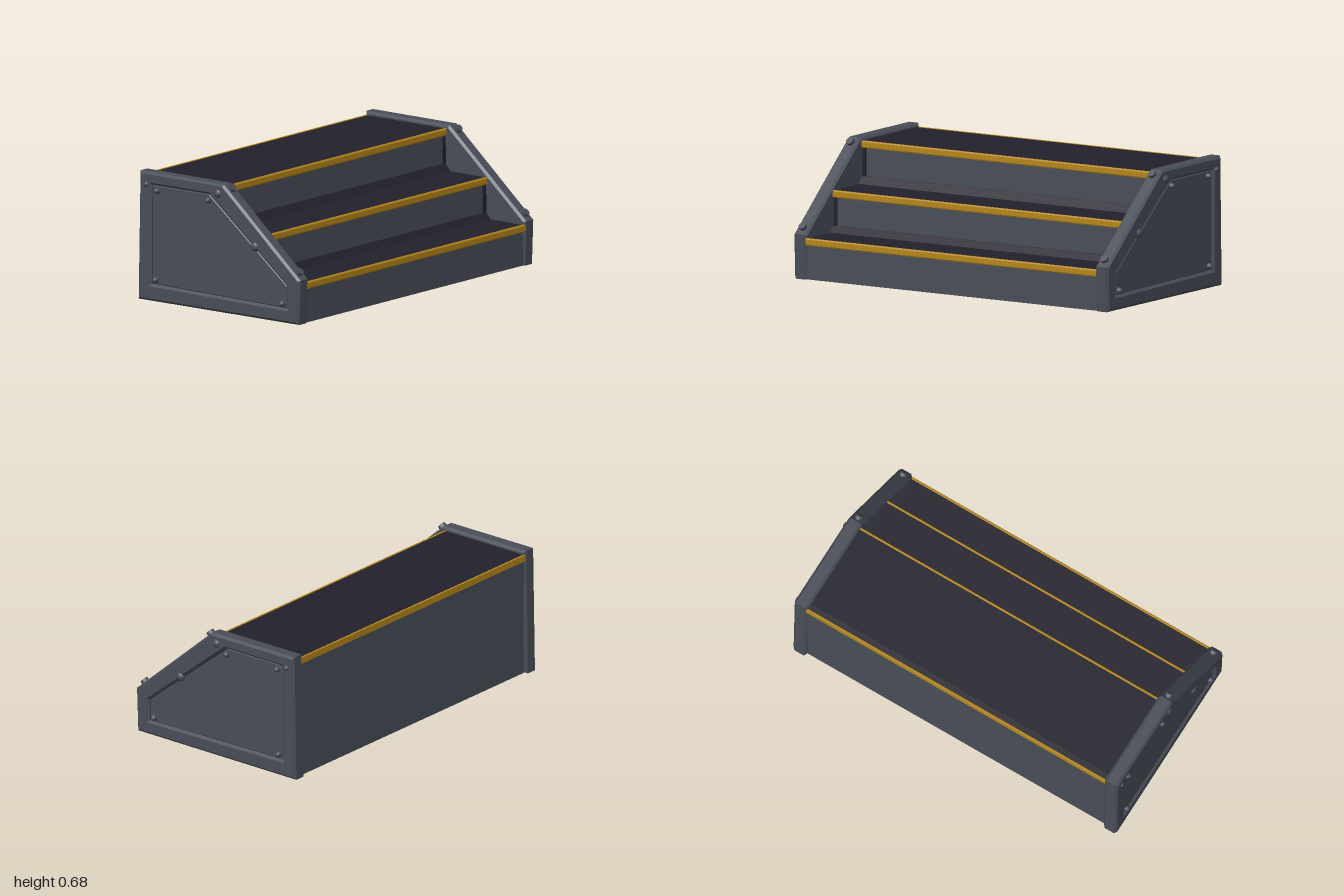
import * as THREE from 'three';

const grey = new THREE.MeshStandardMaterial({ color: 0x484e58 });
grey.name = 'slate grey';
const dark = new THREE.MeshStandardMaterial({ color: 0x22212c });
dark.name = 'dark grip';
const yellow = new THREE.MeshStandardMaterial({ color: 0xb5861a });
yellow.name = 'safety yellow';

const HALF = 0.91; // half length of the steps between the side plates

function polygon(points, Type = THREE.Shape) {
  return new Type(points.map(([x, y]) => new THREE.Vector2(x, y)));
}

function add(parent, name, geometry, material, x = 0, y = 0, z = 0) {
  const mesh = new THREE.Mesh(geometry, material);
  mesh.name = name;
  mesh.position.set(x, y, z);
  parent.add(mesh);
  return mesh;
}

// Constant cross-section running the full length of the steps
function addRun(parent, name, points, material) {
  const geometry = new THREE.ExtrudeGeometry(polygon(points), { depth: 2 * HALF, bevelEnabled: false });
  return add(parent, name, geometry, material, 0, 0, -HALF);
}

// One end plate, built with its outer face towards +z
function makeSidePlate() {
  const plate = new THREE.Group();
  const outline = [[-0.525, 0.017], [0.518, 0.017], [0.526, 0.236], [0.024, 0.674], [-0.513, 0.677]];
  const opening = [[-0.462, 0.083], [-0.462, 0.634], [-0.06, 0.634], [0.463, 0.205], [0.463, 0.07]];
  const panel = [[-0.443, 0.1], [0.444, 0.087], [0.444, 0.197], [-0.072, 0.617], [-0.443, 0.617]];

  // Raised frame with bevelled edges
  const frameShape = polygon(outline);
  frameShape.holes.push(polygon(opening, THREE.Path));
  const frame = new THREE.ExtrudeGeometry(frameShape, {
    depth: 0.056, bevelThickness: 0.012, bevelSize: 0.012, bevelSegments: 1,
  });
  add(plate, 'sideFrame', frame, grey, 0, 0, 0.917);

  // Solid core, dark groove and inset panel
  const core = new THREE.ExtrudeGeometry(polygon(outline), { depth: 0.053, bevelEnabled: false });
  add(plate, 'sideCore', core, grey, 0, 0, 0.907);
  const groove = new THREE.ExtrudeGeometry(polygon(opening), { depth: 0.006, bevelEnabled: false });
  add(plate, 'panelGroove', groove, dark, 0, 0, 0.958);
  const inset = new THREE.ExtrudeGeometry(polygon(panel), {
    depth: 0.008, bevelThickness: 0.004, bevelSize: 0.004, bevelSegments: 1,
  });
  add(plate, 'insetPanel', inset, grey, 0, 0, 0.962);

  // Domed rivets: x, y, radius
  const rivets = [[-0.41, 0.595, 0.017], [-0.07, 0.59, 0.017], [-0.42, 0.12, 0.017], [0.42, 0.105, 0.018],
    [0.24, 0.385, 0.027], [-0.005, 0.635, 0.026], [-0.478, 0.622, 0.017]];
  for (const [x, y, r] of rivets) {
    const dome = new THREE.SphereGeometry(r, 14, 6, 0, Math.PI * 2, 0, Math.PI / 2);
    dome.rotateX(Math.PI / 2);
    dome.scale(1, 1, 0.026 / r);
    add(plate, 'rivet', dome, grey, x, y, 0.972);
  }

  // Bolt heads on the sloping edge
  for (const [x, y] of [[0.058, 0.662], [0.502, 0.274]]) {
    const bolt = new THREE.CylinderGeometry(0.021, 0.023, 0.035, 8);
    add(plate, 'edgeBolt', bolt, grey, x, y, 0.945).rotation.z = -0.855;
  }
  return plate;
}

export function createModel() {
  const model = new THREE.Group();
  model.name = 'steps';

  // Stepped body
  addRun(model, 'body', [[-0.517, 0.006], [0.522, 0.006], [0.522, 0.21], [0.273, 0.21],
    [0.273, 0.43], [0.005, 0.43], [0.005, 0.655], [-0.517, 0.655]], grey);

  // Treads with a small cove against the next riser, and their yellow nosings
  const steps = [
    { nose: 0.535, back: 0.27, top: 0.222, cove: 0.035 },
    { nose: 0.288, back: 0.002, top: 0.442, cove: 0.04 },
    { nose: 0.018, back: -0.52, top: 0.667, cove: 0 },
  ];
  for (const { nose, back, top, cove } of steps) {
    const n = nose - 0.01;
    addRun(model, 'tread', [[back, top - 0.02], [n, top - 0.02], [n, top],
      [back + 0.04, top + 0.002], [back + 0.008, top + cove], [back, top + cove]], dark);
    addRun(model, 'nosing', [[nose - 0.014, top - 0.035], [nose - 0.003, top - 0.036], [nose, top - 0.03],
      [nose, top - 0.004], [nose - 0.004, top + 0.002], [nose - 0.014, top + 0.002]], yellow);
  }
  addRun(model, 'backNosing', [[-0.524, 0.635], [-0.512, 0.635], [-0.512, 0.669], [-0.524, 0.669]], yellow);

  // Dark trim at both ends of the upper risers
  for (const [x, y] of [[0.275, 0.315], [0.007, 0.54]]) {
    for (const side of [-1, 1]) {
      add(model, 'riserTrim', new THREE.BoxGeometry(0.009, 0.18, 0.022), dark, x, y, side * 0.895);
    }
  }

  // Matching end plates
  for (const side of [1, -1]) {
    const plate = makeSidePlate();
    plate.name = side > 0 ? 'frontSidePlate' : 'backSidePlate';
    if (side < 0) {
      for (const part of plate.children) {
        // Mirror in z and restore the corner order
        part.updateMatrix();
        const g = part.geometry = part.geometry.index ? part.geometry.toNonIndexed() : part.geometry;
        g.applyMatrix4(part.matrix);
        g.scale(1, 1, -1);
        const p = g.attributes.position;
        const v = new THREE.Vector3(), w = new THREE.Vector3();
        for (const a of [p, g.attributes.normal]) {
          for (let i = 0; i < a.count; i += 3) {
            v.fromBufferAttribute(a, i + 1);
            w.fromBufferAttribute(a, i + 2);
            a.setXYZ(i + 1, w.x, w.y, w.z);
            a.setXYZ(i + 2, v.x, v.y, v.z);
          }
        }
        part.position.set(0, 0, 0);
        part.rotation.set(0, 0, 0);
      }
    }
    model.add(plate);
  }
  return model;
}
